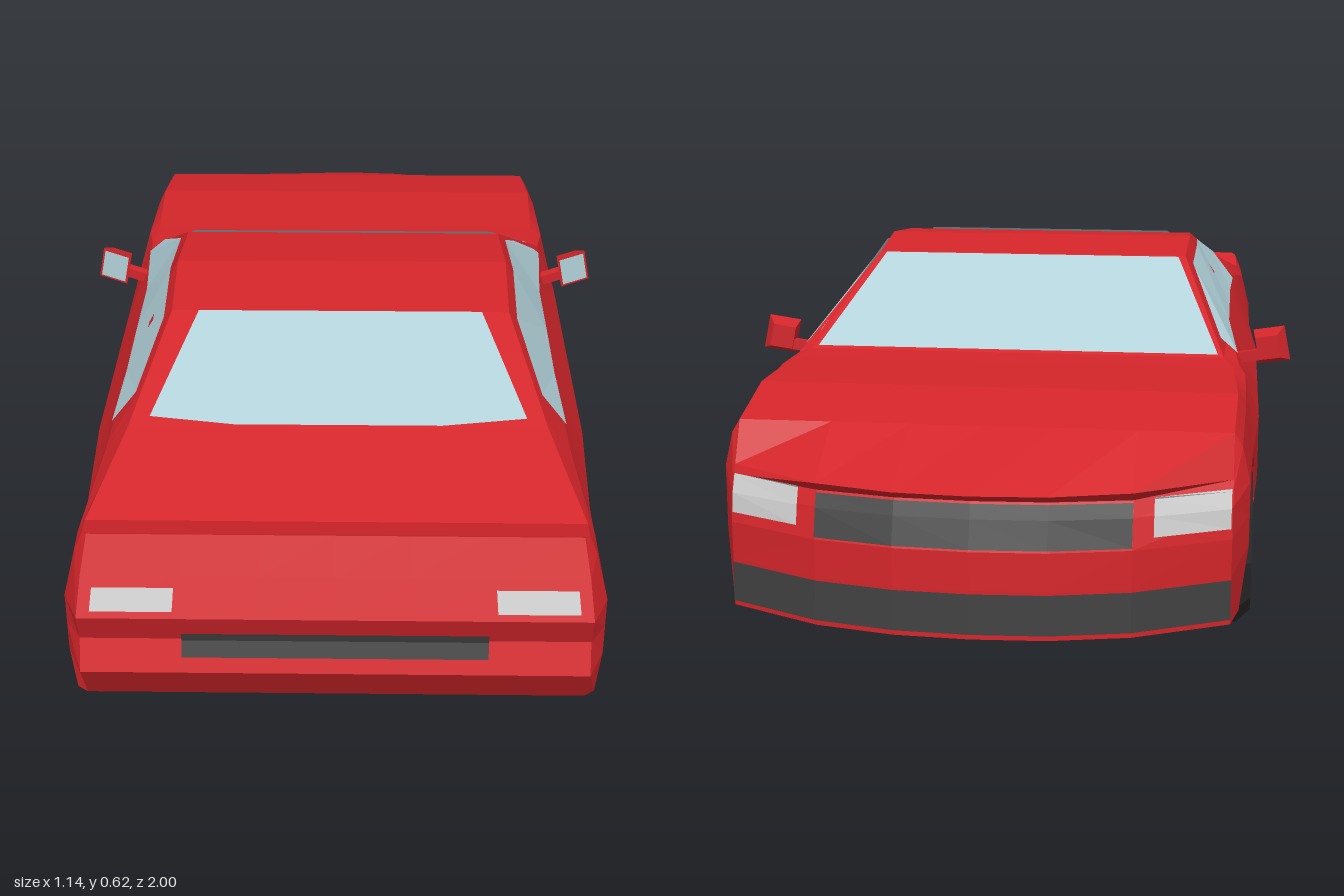
import * as THREE from 'three';

const paint = (color, side = THREE.FrontSide) =>
  new THREE.MeshStandardMaterial({ color, side, flatShading: true });
const RED = paint(0xd4252a);
const GLASS = paint(0xb2d2da, THREE.DoubleSide);
const DARK = paint(0x424242, THREE.DoubleSide);
const LAMP = paint(0xc4c4c4, THREE.DoubleSide);
const TYRE = paint(0x2b2b2b);
const HUB = paint(0x777777);

// Linear lookup of every column in a table sorted by its first column
function lookup(table, v) {
  let i = 0;
  while (i < table.length - 2 && v > table[i + 1][0]) i++;
  const [a, b] = [table[i], table[i + 1]];
  const t = THREE.MathUtils.clamp((v - a[0]) / (b[0] - a[0]), 0, 1);
  return a.slice(1).map((n, k) => n + (b[k + 1] - n) * t);
}

// Surface through rows of points
function grid(rows) {
  const n = rows[0].length, index = [];
  for (let s = 0; s < rows.length - 1; s++)
    for (let i = 0; i < n - 1; i++) {
      const a = s * n + i, b = a + 1, c = b + n, d = a + n;
      index.push(a, b, c, a, c, d);
    }
  const g = new THREE.BufferGeometry();
  g.setAttribute('position', new THREE.Float32BufferAttribute(rows.flat(2), 3));
  g.setIndex(index);
  const flat = g.toNonIndexed();
  flat.computeVertexNormals();
  return flat;
}

// Body stations: z, floor y, sill x, side x, belt x, belt y, top x, top y
const KEYS = [
  [-0.80, 0.075, 0.47, 0.485, 0.47, 0.385, 0.455, 0.41],
  [-0.62, 0.075, 0.475, 0.49, 0.475, 0.41, 0.46, 0.44],
  [-0.40, 0.075, 0.48, 0.502, 0.475, 0.425, 0.45, 0.44],
  [-0.32, 0.075, 0.49, 0.505, 0.46, 0.432, 0.43, 0.442],
  [-0.02, 0.075, 0.49, 0.505, 0.44, 0.45, 0.34, 0.603],
  [0.16, 0.075, 0.49, 0.505, 0.44, 0.45, 0.345, 0.62],
  [0.35, 0.075, 0.49, 0.505, 0.44, 0.45, 0.34, 0.60],
  [0.64, 0.088, 0.48, 0.49, 0.445, 0.45, 0.40, 0.50],
  [0.86, 0.10, 0.48, 0.49, 0.47, 0.41, 0.455, 0.435],
  [0.93, 0.11, 0.48, 0.49, 0.465, 0.42, 0.45, 0.456],
];
const AXLES = [-0.62, 0.57];
const ARCH = [[0, 0.306], [0.05, 0.306], [0.115, 0.265], [0.155, 0.19], [0.165, 0]];
const FRACS = [0, 0.3, 0.62, 1];
const BOW = [[0, 1], [0.3, 0.94], [0.62, 0.68], [1, 0]];

// Edge rows of both ends, sill to top: x, y, z at the corner, z at the middle
const NOSE = [
  [0.455, 0.075, -0.875, -1], [0.455, 0.165, -0.875, -1], [0.455, 0.235, -0.875, -0.998],
  [0.455, 0.29, -0.865, -0.978], [0.455, 0.318, -0.85, -0.966], [0.455, 0.335, -0.84, -0.995],
];
const TAIL = [
  [0.46, 0.11, 0.945, 0.945], [0.46, 0.20, 1, 1], [0.46, 0.26, 0.978, 0.978],
  [0.46, 0.32, 1, 1], [0.452, 0.39, 0.97, 0.97], [0.44, 0.46, 0.94, 0.94],
];

// Point on an end row at fraction c of its half width
const onRow = ([x, y, z, mid], c) =>
  [x * c, y, z + (mid - z) * lookup(BOW, Math.abs(c))[0]];

function closeRing(half) {
  const mirror = half.slice(0, -1).reverse().map(([x, y, z]) => [-x, y, z]);
  return [...half, ...mirror];
}

function section(z) {
  const [floor, sill, side, beltX, beltY, topX, topY] = lookup(KEYS, z);
  const off = Math.min(...AXLES.map(a => Math.abs(z - a)));
  const a = Math.max(floor, lookup(ARCH, off)[0]);
  return closeRing([
    ...FRACS.map(f => [0.385 * f, floor, z]),
    [0.385, a, z],
    [a > floor + 0.01 ? side : sill, a, z],
    ...[0.2, 0.26, 0.32].map(y => [side, Math.max(a, y), z]),
    [beltX, beltY, z],
    ...[...FRACS].reverse().map(f => [topX * f, topY, z]),
  ]);
}

const endRing = rows => closeRing([
  ...FRACS.map(f => onRow(rows[0], f)),
  onRow(rows[0], 1),
  ...rows.slice(0, 5).map(r => onRow(r, 1)),
  ...[...FRACS].reverse().map(f => onRow(rows[5], f)),
]);

const endFace = (rows, sign) => grid(rows.map(r =>
  [-1, -0.62, -0.3, 0, 0.3, 0.62, 1].map(c => onRow(r, c * sign))));

// Thin panel just proud of an end, between two heights and two width fractions
function endPanel(rows, y0, y1, c0, c1, lift) {
  const table = rows.map(([x, y, z, m]) => [y, x, z, m]);
  const ys = [y0, ...rows.map(r => r[1]).filter(y => y > y0 && y < y1), y1];
  const cs = [c0, ...[-0.62, -0.3, 0, 0.3, 0.62].filter(c => c > c0 && c < c1), c1];
  return grid(ys.map(y => {
    const [x, z, m] = lookup(table, y);
    return cs.map(c => onRow([x, y, z + lift, m + lift], c));
  }));
}

export function createModel() {
  const car = new THREE.Group();
  car.name = 'car';
  const add = (name, geometry, material, parent = car) => {
    const mesh = new THREE.Mesh(geometry, material);
    mesh.name = name;
    parent.add(mesh);
    return mesh;
  };

  // Body shell with wheel arches
  const arches = AXLES.flatMap(a => ARCH.slice(1).flatMap(([d]) => [a - d, a + d]));
  const stations = [...new Set([...KEYS.map(k => k[0]), ...arches])].sort((a, b) => a - b);
  const rings = [endRing(NOSE), ...stations.map(section), endRing(TAIL)];
  add('body', grid(rings), RED);
  add('nose', endFace(NOSE, -1), RED);
  add('tail', endFace(TAIL, 1), RED);

  // Grilles and rear panel
  add('upperGrille', endPanel(NOSE, 0.24, 0.315, -0.62, 0.62, -0.005), DARK);
  add('lowerGrille', endPanel(NOSE, 0.085, 0.16, -1, 1, -0.004), DARK);
  add('rearPanel', endPanel(TAIL, 0.23, 0.28, -0.6, 0.6, 0.005), DARK);

  // Windscreen and rear window
  const pane = rows => grid(rows.map(([z, x, sag]) => [-1, -0.55, 0.55, 1].map(c => {
    const zz = z + (Math.abs(c) < 1 ? sag : 0);
    return [x * c, lookup(KEYS, zz)[6] + 0.005, zz];
  })));
  add('windscreen', pane([[-0.318, 0.418, 0], [-0.03, 0.325, 0]]), GLASS);
  add('rearWindow', pane([[0.355, 0.285, 0], [0.62, 0.36, 0.018]]), GLASS);

  for (const s of [1, -1]) {
    const side = s > 0 ? 'left' : 'right';

    // Side window follows the cabin flank
    add(side + 'SideWindow', grid([0.06, 0.88].map(t =>
      [-0.262, -0.02, 0.16, 0.35, 0.55].map(z => {
        const [, , , bx, by, tx, ty] = lookup(KEYS, z);
        return [s * (bx + (tx - bx) * t + 0.005), by + (ty - by) * t + 0.003, z];
      }))), GLASS);

    // Lamps
    const range = (a, b) => (s > 0 ? [a, b] : [-b, -a]);
    add(side + 'Headlamp', endPanel(NOSE, 0.255, 0.322, ...range(0.7, 0.995), -0.006), LAMP);
    add(side + 'RearLamp', endPanel(TAIL, 0.335, 0.375, ...range(0.63, 0.95), 0.006), LAMP);

    // Door mirror
    const mirror = new THREE.Group();
    mirror.name = side + 'Mirror';
    mirror.position.set(s * 0.526, 0.442, -0.195);
    mirror.rotation.set(0, s * 0.25, s * 0.2);
    const shell = new THREE.BoxGeometry(0.068, 0.074, 0.036);
    const p = shell.attributes.position;
    for (let i = 0; i < p.count; i++)
      if (p.getZ(i) < 0) p.setXY(i, p.getX(i) * 0.7, p.getY(i) * 0.65);
    add('mirrorShell', shell, RED, mirror);
    add('mirrorGlass', new THREE.PlaneGeometry(0.058, 0.064), GLASS, mirror).position.z = 0.02;
    const stalk = add('mirrorStalk', new THREE.BoxGeometry(0.06, 0.022, 0.022), RED, mirror);
    stalk.position.set(-s * 0.05, -0.014, -0.004);
    car.add(mirror);

    // Wheels
    AXLES.forEach((z, i) => {
      const wheel = new THREE.Group();
      wheel.name = side + (i ? 'RearWheel' : 'FrontWheel');
      wheel.position.set(0, 0.15, z);
      if (s < 0) wheel.rotation.y = Math.PI;
      const profile = [[0, 0.385], [0.156, 0.385], [0.156, 0.465], [0.132, 0.492],
        [0.09, 0.492], [0.075, 0.48], [0, 0.48]].map(([r, x]) => new THREE.Vector2(r, x));
      add('tyre', new THREE.LatheGeometry(profile, 10).rotateZ(-Math.PI / 2), TYRE, wheel);
      add('hub', new THREE.CylinderGeometry(0.064, 0.064, 0.02, 10).rotateZ(-Math.PI / 2), HUB, wheel)
        .position.x = 0.476;
      car.add(wheel);
    });
  }
  return car;
}
